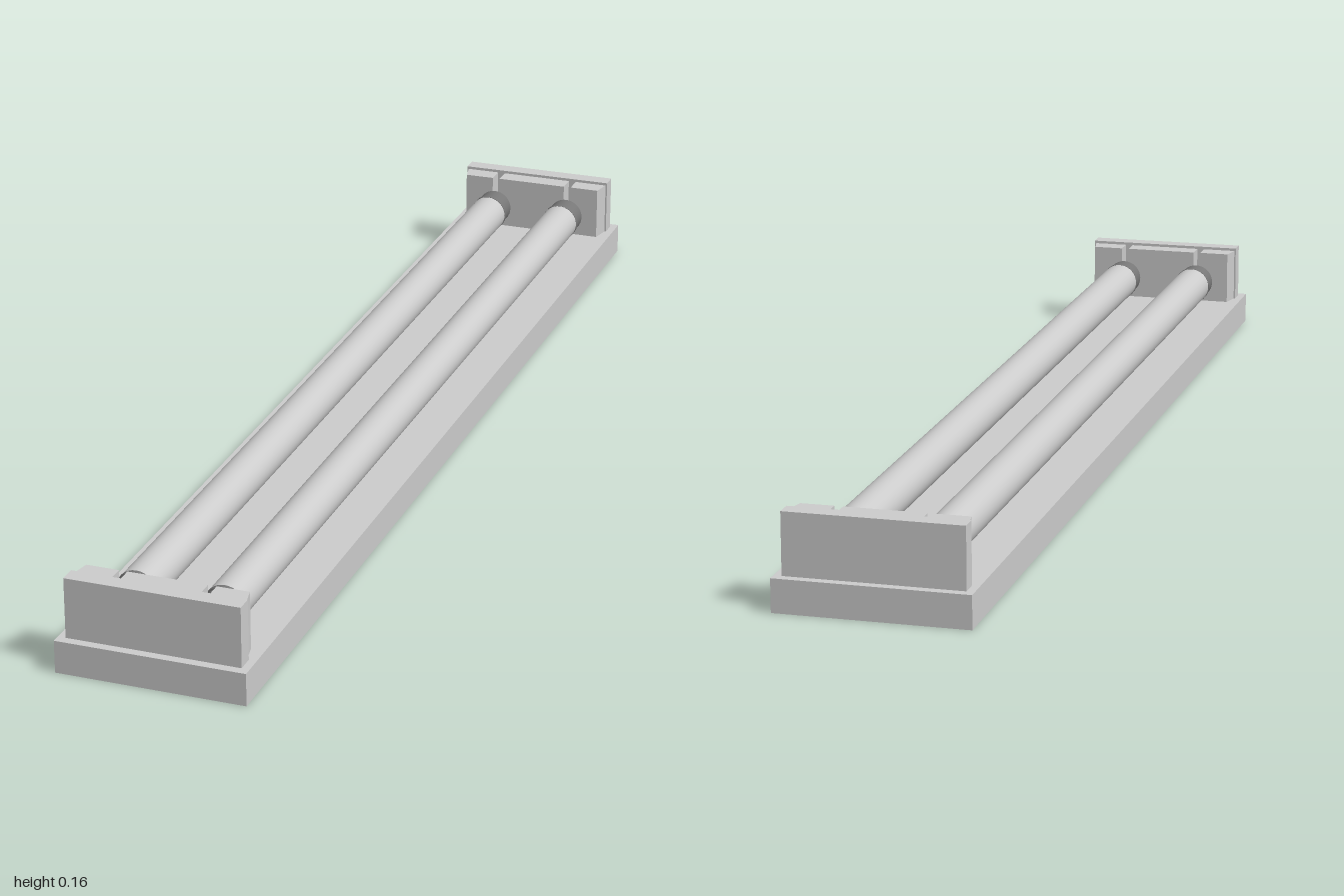
import * as THREE from 'three';

export function createModel() {
  const root = new THREE.Group();
  const enamel = new THREE.MeshStandardMaterial({ color: 0xcccccc });
  enamel.name = 'light grey enamel';
  const metal = new THREE.MeshStandardMaterial({ color: 0x777777 });
  metal.name = 'dark grey metal';

  const add = (parent, name, geometry, material, x = 0, y = 0, z = 0) => {
    const mesh = new THREE.Mesh(geometry, material);
    mesh.name = name;
    mesh.position.set(x, y, z);
    parent.add(mesh);
    return mesh;
  };
  const box = (w, h, d) => new THREE.BoxGeometry(w, h, d);
  const rod = (r, length, sides = 32) =>
    new THREE.CylinderGeometry(r, r, length, sides).rotateX(Math.PI / 2);

  const H = 0.055, W = 0.158, T = 0.003;
  const lampX = 0.0735, lampY = 0.095;

  // Sheet metal tray, open underneath
  const tray = new THREE.Group();
  tray.name = 'tray';
  root.add(tray);
  add(tray, 'trayTop', box(2 * W, T, 2), enamel, 0, H - T / 2, 0);
  for (const s of [-1, 1]) {
    add(tray, 'traySide', box(T, H - T, 2), enamel, s * (W - T / 2), (H - T) / 2, 0);
    add(tray, 'trayEnd', box(2 * (W - T), H - T, T), enamel, 0, (H - T) / 2, s * (1 - T / 2));
  }

  // Slotted front of a lamp holder, drawn in x and y, narrowing towards the lamps
  function holderFace() {
    const top = 0.152, w = 0.142, slot = 0.007, depth = 0.034;
    const shape = new THREE.Shape();
    shape.moveTo(-w, H);
    shape.lineTo(w, H);
    shape.lineTo(w, top);
    for (const x of [lampX, -lampX]) {
      shape.lineTo(x + slot, top);
      shape.lineTo(x + slot, lampY - 0.014);
      shape.absarc(x, lampY - 0.014, slot, 0, -Math.PI, true);
      shape.lineTo(x - slot, top);
    }
    shape.lineTo(-w, top);
    shape.closePath();
    const g = new THREE.ExtrudeGeometry(shape, { depth, bevelEnabled: false, curveSegments: 8 });
    const p = g.attributes.position;
    for (let i = 0; i < p.count; i++) {
      const x = p.getX(i);
      if (Math.abs(x) > 0.13) p.setX(i, x - Math.sign(x) * 0.007 * (1 - p.getZ(i) / depth));
    }
    g.computeVertexNormals();
    return g;
  }

  // Lamp holder at each end
  const face = holderFace();
  for (const s of [-1, 1]) {
    const holder = new THREE.Group();
    holder.name = s > 0 ? 'frontHolder' : 'backHolder';
    holder.rotation.y = s > 0 ? 0 : Math.PI;
    root.add(holder);
    add(holder, 'holderBack', box(0.29, 0.157 - H, 0.029), enamel, 0, (0.157 + H) / 2, 0.9705);
    add(holder, 'holderFace', face, enamel, 0, 0, 0.922);
  }

  // Two lamps, each a glass tube with a cap and two pins at both ends
  for (const side of [-1, 1]) {
    const lamp = new THREE.Group();
    lamp.name = side > 0 ? 'leftLamp' : 'rightLamp';
    lamp.position.set(side * lampX, lampY, 0);
    root.add(lamp);
    add(lamp, 'tube', rod(0.034, 1.75, 40), enamel);
    for (const s of [-1, 1]) {
      add(lamp, 'capCollar', rod(0.0345, 0.010), metal, 0, 0, s * 0.878);
      add(lamp, 'cap', rod(0.0325, 0.034), metal, 0, 0, s * 0.899);
      for (const v of [-1, 1])
        add(lamp, 'pin', rod(0.0055, 0.032, 12), metal, 0, v * 0.013, s * 0.93);
    }
  }
  return root;
}
